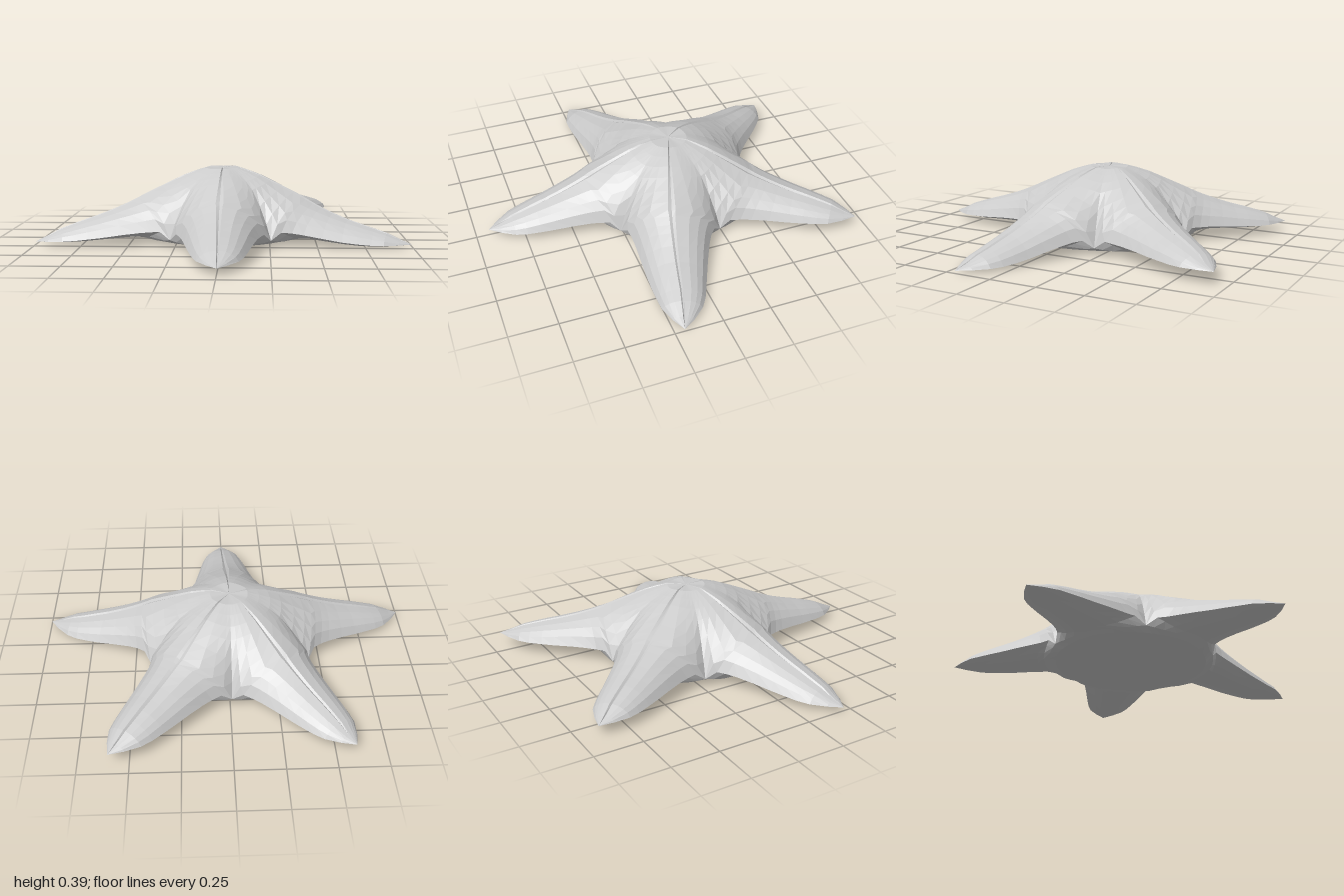
import * as THREE from 'three';

const CENTRE_X = -0.01, CENTRE_Z = -0.09, ROOT = 0.45, TIP = 1.03;

// Profiles along an arm, as [distance from the centre, value]
const RIDGE = [[0, 0.392], [0.1, 0.394], [0.2, 0.366], [0.3, 0.322], [0.4, 0.277], [0.5, 0.23],
  [0.6, 0.19], [0.7, 0.157], [0.8, 0.128], [0.9, 0.094], [0.98, 0.055], [1.03, 0.035]];
const WIDTH = [[0.364, 0.2645], [0.41, 0.228], [0.45, 0.21], [0.5, 0.195], [0.63, 0.166],
  [0.75, 0.142], [0.84, 0.12], [0.9, 0.1], [0.98, 0.047], [1.03, 0]];
// Height of the side edge: down the steep webs between the arms, then along the arm
const EDGE = [[0, 0.392], [0.1, 0.39], [0.2, 0.35], [0.28, 0.295], [0.35, 0.215], [0.41, 0.125], [ROOT, 0.045],
  [0.48, 0.085], [0.56, 0.078], [0.7, 0.058], [0.84, 0.045], [1.03, 0.035]];
const BASE = [[0, 0.022], [0.4, 0.022], [0.5, 0.043], [0.8, 0.028], [1.03, 0.035]];
// How far the ends of a row lag behind its middle, which rounds the webs
const BOW = [[ROOT, 0.086], [0.48, 0.07], [0.52, 0.06], [0.56, 0.045], [0.62, 0.015], [0.7, 0]];

const STATIONS = [0, 0.1, 0.16, 0.22, 0.28, 0.35, 0.41, ROOT, 0.48, 0.52, 0.56, 0.62, 0.7, 0.77, 0.84, 0.9, 0.97, TIP];
const ACROSS = [-1, -0.85, -0.65, -0.4, -0.07, 0, 0.07, 0.4, 0.65, 0.85, 1];

function sample(table, x) {
  for (let i = 1; i < table.length; i++) {
    const [x0, y0] = table[i - 1], [x1, y1] = table[i];
    if (x <= x1) return y0 + (y1 - y0) * (x - x0) / (x1 - x0);
  }
  return table[table.length - 1][1];
}

// Position along and across the arm: arcs within the body, bowed rows beyond
function place(station, u) {
  if (station <= ROOT) {
    const a = u * Math.PI / 5;
    return [station * Math.cos(a), station * Math.sin(a)];
  }
  const bow = sample(BOW, station);
  return [station - bow * u * u, u * sample(WIDTH, station - bow)];
}

// Rounded top with a fine groove along the ridge
function topHeight(station, u) {
  const edge = sample(EDGE, station);
  const dome = (1 + Math.cos(Math.PI * u)) / 2;
  const round = Math.pow(1 - u * u, 0.7);
  const shape = THREE.MathUtils.lerp(dome, round, THREE.MathUtils.smoothstep(station, 0.1, 0.5));
  const groove = u === 0 && station > 0 && station < TIP ? 0.009 : 0;
  return edge + (sample(RIDGE, station) - edge) * shape - groove;
}

// Flat belly, with the underside of the arm rising to its edges
function bellyHeight(station, u) {
  const [s] = place(station, u);
  const base = sample(BASE, s);
  if (station < ROOT) return base;
  return base + (sample(EDGE, station) - base) * Math.max(0, (Math.abs(u) - 0.5) / 0.5);
}

// One fifth of the body with its arm
function armGeometry({ turn, bend, length, lift, sag }) {
  const positions = [], indices = [];
  const cols = ACROSS.length, last = STATIONS.length - 2;

  const addPoint = (s, t, y) => {
    const k = Math.max(0, (s - ROOT) / (TIP - ROOT));
    const reach = s + k * (length - TIP);
    const a = THREE.MathUtils.degToRad(turn + bend * Math.min(1, k * 1.5));
    positions.push(
      CENTRE_X + reach * Math.sin(a) + t * Math.cos(a),
      y + lift * k - sag * Math.sin(Math.PI * k),
      CENTRE_Z + reach * Math.cos(a) - t * Math.sin(a));
  };

  const addSheet = (height, flip) => {
    const start = positions.length / 3;
    for (const station of STATIONS) {
      for (const u of ACROSS) addPoint(...place(station, u), height(station, u));
    }
    const addFace = (p, q, r) => indices.push(...(flip ? [p, r, q] : [p, q, r]));
    for (let i = 0; i <= last; i++) {
      for (let j = 0; j < cols - 1; j++) {
        const a = start + i * cols + j, b = a + 1, c = a + cols, d = c + 1;
        if (i > 0) addFace(a, c, b);
        if (i < last) addFace(b, c, d);
      }
    }
  };
  addSheet(topHeight, false);
  addSheet(bellyHeight, true);

  const geometry = new THREE.BufferGeometry();
  geometry.setAttribute('position', new THREE.Float32BufferAttribute(positions, 3));
  geometry.setIndex(indices);
  geometry.computeVertexNormals();
  return geometry;
}

export function createModel() {
  const group = new THREE.Group();
  group.name = 'starfish';
  const material = new THREE.MeshStandardMaterial({ color: 0xcccccc, flatShading: true });

  const arms = [
    { name: 'frontArm', turn: 0, bend: 0.6, length: 1.022, lift: 0.005, sag: 0 },
    { name: 'leftArm', turn: 72, bend: 2, length: 1.05, lift: -0.018, sag: 0.015 },
    { name: 'backLeftArm', turn: 144, bend: 0.3, length: 1.046, lift: 0.035, sag: 0 },
    { name: 'backRightArm', turn: 216, bend: 0, length: 1.003, lift: 0.02, sag: 0 },
    { name: 'rightArm', turn: 288, bend: -1.1, length: 1.034, lift: -0.014, sag: 0 },
  ];
  for (const arm of arms) {
    const mesh = new THREE.Mesh(armGeometry(arm), material);
    mesh.name = arm.name;
    group.add(mesh);
  }
  return group;
}
